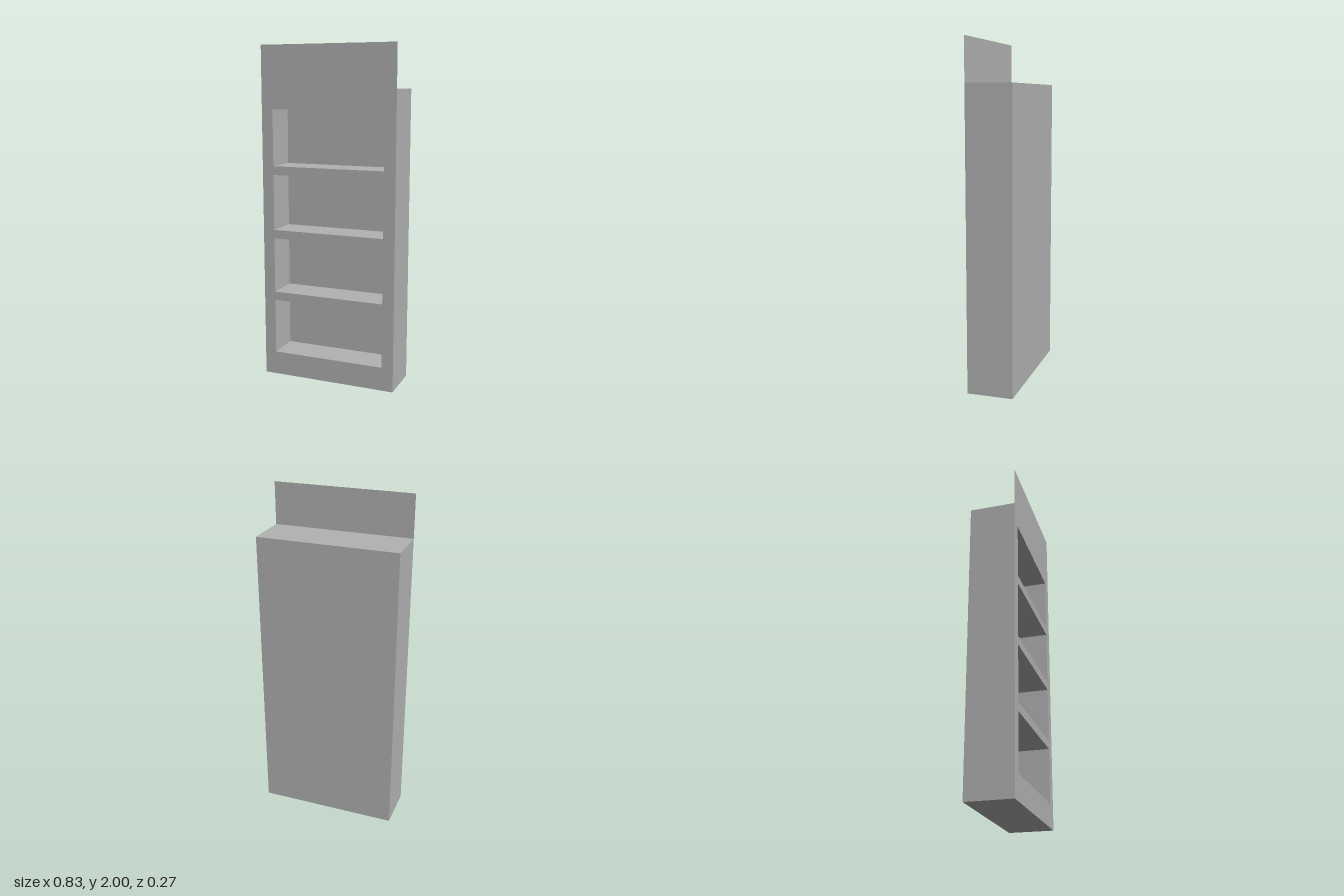
import * as THREE from 'three';

const W = 0.83, BODY_H = 1.75, TOTAL_H = 2, DEPTH = 0.27, FRONT = DEPTH / 2;
const BAY_W = 0.69, BAY_H = 0.333, BAY_DEPTH = 0.2, BAY_BOTTOM = 0.142, BAY_STEP = 0.385;

// Box without its front face; inward turns the faces to look inside
function openBox(w, h, d, inward) {
  const geo = new THREE.BoxGeometry(w, h, d);
  const index = Array.from(geo.index.array).filter((_, i) => i < 24 || i >= 30);
  geo.clearGroups();
  geo.setIndex(inward ? index.reverse() : index);
  if (inward) geo.attributes.normal.array.forEach((v, i, a) => { a[i] = -v; });
  return geo;
}

export function createModel() {
  const group = new THREE.Group();
  const grey = new THREE.MeshStandardMaterial({ color: 0xb2b2b2, side: THREE.DoubleSide });
  grey.name = 'grey card';

  const add = (name, geo, y, z) => {
    const mesh = new THREE.Mesh(geo, grey);
    mesh.name = name;
    mesh.position.set(0, y, z);
    group.add(mesh);
  };

  // Sides, back, top and base
  add('cabinetBody', openBox(W, BODY_H, DEPTH, false), BODY_H / 2, 0);

  // Thin front sheet, rising above the body as a header, with four bay openings
  const front = new THREE.Shape([
    new THREE.Vector2(-W / 2, 0), new THREE.Vector2(W / 2, 0),
    new THREE.Vector2(W / 2, TOTAL_H), new THREE.Vector2(-W / 2, TOTAL_H),
  ]);

  for (let i = 0; i < 4; i++) {
    const y0 = BAY_BOTTOM + i * BAY_STEP, y1 = y0 + BAY_H, x = BAY_W / 2;
    front.holes.push(new THREE.Path([
      new THREE.Vector2(-x, y0), new THREE.Vector2(-x, y1),
      new THREE.Vector2(x, y1), new THREE.Vector2(x, y0),
    ]));
    // Recessed shelf bay
    add(`shelfBay${i + 1}`, openBox(BAY_W, BAY_H, BAY_DEPTH, true),
      y0 + BAY_H / 2, FRONT - BAY_DEPTH / 2);
  }
  add('frontPanelWithHeader', new THREE.ShapeGeometry(front), 0, FRONT);

  return group;
}
